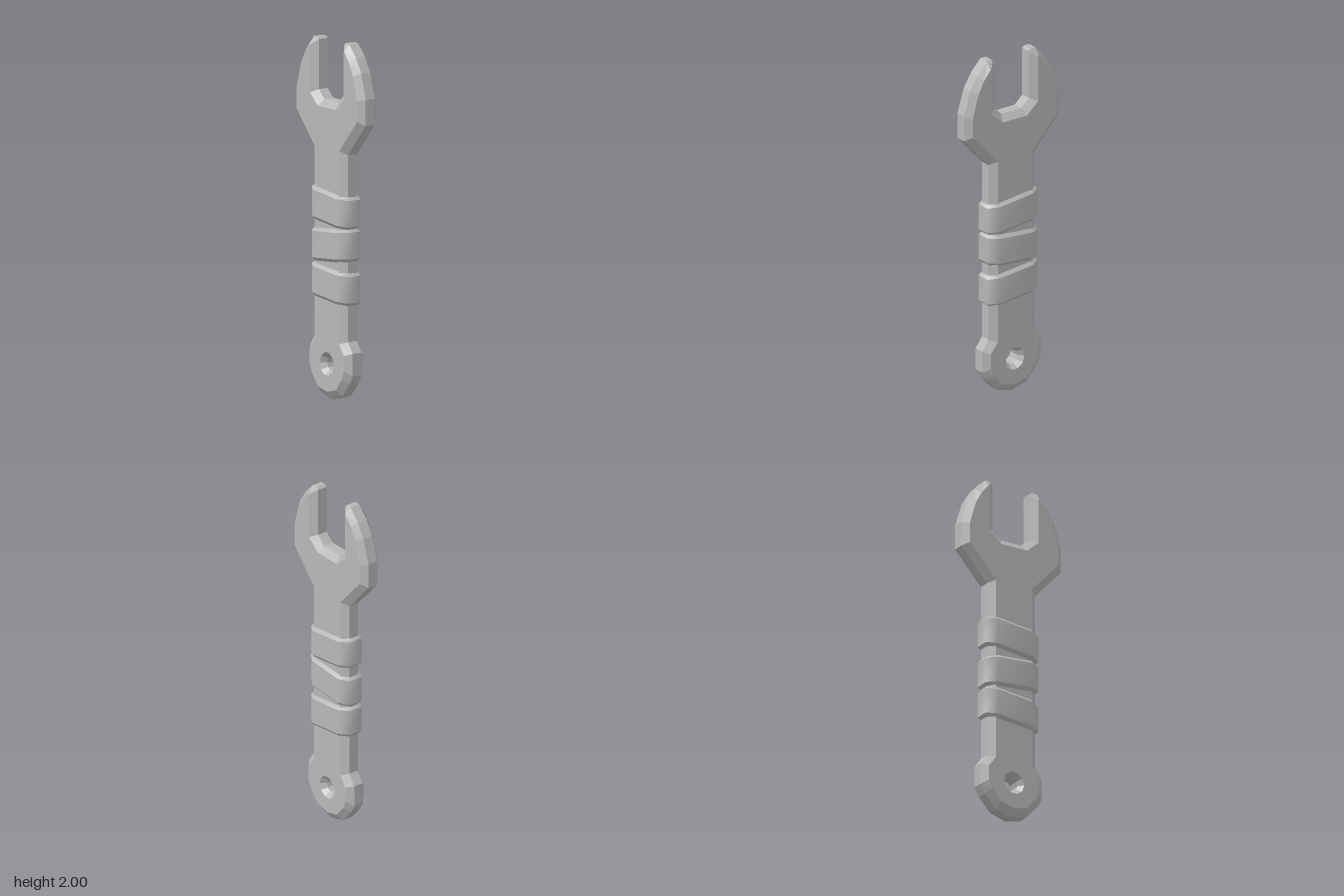
import * as THREE from 'three';
import { mergeGeometries } from 'three/addons/utils/BufferGeometryUtils.js';

// Mirror a right-hand half outline into a full counter-clockwise loop
const mirror = (half) => [
  ...half,
  ...half.filter(([x]) => x !== 0).reverse().map(([x, y]) => [-x, y]),
];

// Skin a stack of equal-length loops; each ring is { loop, z, slope }
function loft(rings, smooth = false) {
  const pos = [], index = [], n = rings[0].loop.length;
  for (const { loop, z, slope = 0 } of rings)
    for (const [x, y] of loop) pos.push(x, y, z + slope * x);
  for (let r = 0; r < rings.length - 1; r++) {
    for (let i = 0; i < n; i++) {
      const a = r * n + i, b = r * n + (i + 1) % n;
      index.push(a, b, b + n, a, b + n, a + n);
    }
  }
  let g = new THREE.BufferGeometry();
  g.setAttribute('position', new THREE.Float32BufferAttribute(pos, 3));
  g.setIndex(index);
  if (!smooth) g = g.toNonIndexed();
  g.computeVertexNormals();
  return g;
}

const EDGE_Z = 0.03, FACE_Z = 0.062;

// Widest outline of the spanner and the smaller outline of its flat face
const rim = mirror([
  [0, 0], [0.1, 0.027], [0.17, 0.105], [0.2, 0.155], [0.2, 0.28], [0.157, 0.34],
  [0.157, 1.38], [0.325, 1.565], [0.325, 1.71], [0.282, 1.85], [0.233, 1.93],
  [0.167, 2], [0.132, 2], [0.12, 1.988], [0.12, 1.71], [0.068, 1.663],
]);
const face = mirror([
  [0, 0.045], [0.085, 0.065], [0.14, 0.13], [0.163, 0.178], [0.163, 0.265], [0.117, 0.325],
  [0.117, 1.4], [0.288, 1.585], [0.288, 1.7], [0.248, 1.835], [0.21, 1.905],
  [0.168, 1.957], [0.164, 1.96], [0.16, 1.95], [0.16, 1.69], [0.085, 1.625],
]);

// Hanging hole loop, clockwise so its wall faces inward
const holeLoop = (r) => Array.from({ length: 10 }, (_, i) => {
  const a = -i * Math.PI / 5;
  return [r * Math.cos(a), 0.2 + r * Math.sin(a)];
});

const bevelled = (outer, inner) => loft([
  { loop: inner, z: -FACE_Z }, { loop: outer, z: -EDGE_Z },
  { loop: outer, z: EDGE_Z }, { loop: inner, z: FACE_Z },
]);

function bodyGeometry() {
  const toPoints = (loop) => loop.map(([x, y]) => new THREE.Vector2(x, y));
  const shape = new THREE.Shape(toPoints(face));
  shape.holes.push(new THREE.Path(toPoints(holeLoop(0.067))));
  const front = new THREE.ShapeGeometry(shape).toNonIndexed();
  front.deleteAttribute('uv');
  front.translate(0, 0, FACE_Z);
  const back = front.clone().rotateY(Math.PI);
  return mergeGeometries([
    front, back, bevelled(rim, face), bevelled(holeLoop(0.042), holeLoop(0.067)),
  ]);
}

// Chamfered grip band: a tilted eight-sided ring around the handle
function bandGeometry(slope) {
  const section = (w, d, fw, fd) => [
    [w, -fd], [w, fd], [fw, d], [-fw, d], [-w, fd], [-w, -fd], [-fw, -d], [fw, -d],
  ];
  const outer = section(0.171, 0.078, 0.113, 0.042);
  const inner = section(0.15, 0.058, 0.108, 0.028);
  const ring = (loop, z) => ({ loop, z, slope });
  const strips = [
    [ring(inner, -0.097), ring(outer, -0.074)],
    [ring(outer, -0.074), ring(outer, 0.074)],
    [ring(outer, 0.074), ring(inner, 0.097)],
  ];
  return mergeGeometries(strips.map((s) => loft(s, true))).rotateX(-Math.PI / 2);
}

export function createModel() {
  const model = new THREE.Group();
  model.name = 'spanner';
  const steel = new THREE.MeshStandardMaterial({ color: 0xb8b8b8 });
  steel.name = 'grey steel';

  const add = (name, geometry, y = 0) => {
    const mesh = new THREE.Mesh(geometry, steel);
    mesh.name = name;
    mesh.position.y = y;
    model.add(mesh);
  };

  add('spannerBody', bodyGeometry());
  // Wrapped bands, tilted alternately
  add('upperGripBand', bandGeometry(-0.11), 1.072);
  add('middleGripBand', bandGeometry(0.08), 0.862);
  add('lowerGripBand', bandGeometry(-0.1), 0.647);
  return model;
}
